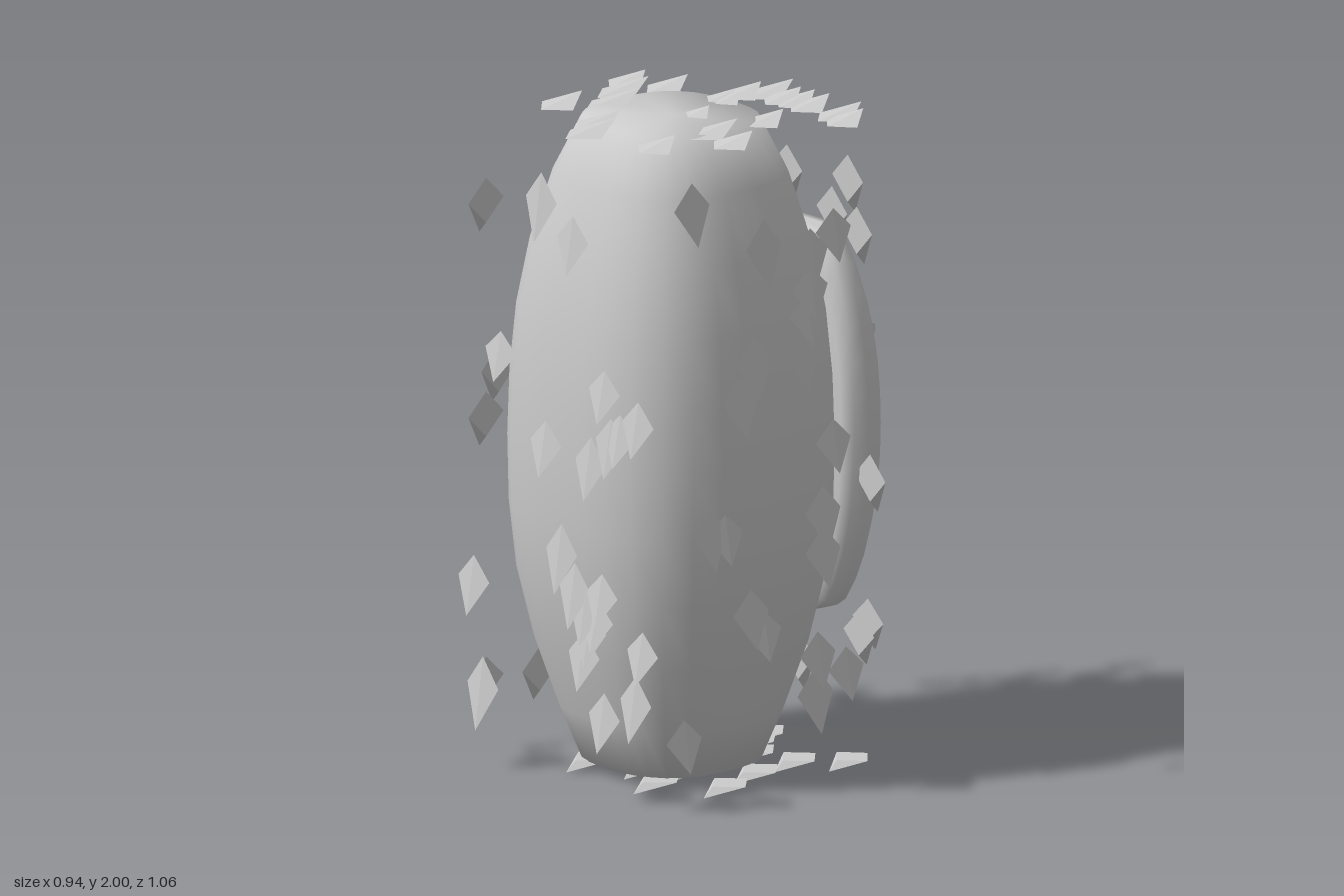
import * as THREE from 'three';
import { mergeVertices } from 'three/addons/utils/BufferGeometryUtils.js';

const grey = new THREE.MeshStandardMaterial({ color: 0xcccccc });
const facetedGrey = new THREE.MeshStandardMaterial({ color: 0xcccccc, flatShading: true });

// Lathe whose round section is squared off into a superellipse, with one smooth skin
function squaredLathe(profile, segments, power) {
  const geo = new THREE.LatheGeometry(profile.map(([r, y]) => new THREE.Vector2(r, y)), segments);
  const p = geo.attributes.position;
  for (let i = 0; i < p.count; i++) {
    const x = p.getX(i), z = p.getZ(i), r = Math.hypot(x, z);
    if (r < 1e-6) continue;
    const k = Math.pow(Math.abs(x / r) ** power + Math.abs(z / r) ** power, -1 / power);
    p.setX(i, x * k);
    p.setZ(i, z * k);
  }
  geo.deleteAttribute('uv');
  geo.deleteAttribute('normal');
  return mergeVertices(geo, 1e-4);
}

function makeMesh(name, geo, material = grey) {
  const mesh = new THREE.Mesh(geo, material);
  mesh.name = name;
  return mesh;
}

// Barrel body, slightly shallower than wide
function makeBody() {
  const geo = squaredLathe([
    [0, 0.03], [0.245, 0.033], [0.305, 0.19], [0.37, 0.39], [0.417, 0.6], [0.437, 0.8],
    [0.441, 1.0], [0.435, 1.2], [0.417, 1.4], [0.38, 1.6], [0.318, 1.81], [0.24, 1.977], [0, 1.98],
  ], 32, 2.8);
  geo.scale(1, 1, 0.975);
  geo.translate(0, 0, 0.066);
  geo.computeVertexNormals();
  return makeMesh('body', geo);
}

// Pack: a padded shield with cut-off ends, bulging towards the back
function makePack() {
  const geo = squaredLathe([
    [0, 0], [0.45, 0], [0.87, 0.006], [0.97, 0.028], [1, 0.075], [0.98, 0.12],
    [0.89, 0.155], [0.8, 0.163], [0.4, 0.166], [0, 0.167],
  ], 40, 2.2);
  geo.rotateX(-Math.PI / 2);
  const p = geo.attributes.position;
  for (let i = 0; i < p.count; i++) {
    const depth = -p.getZ(i);
    const y = THREE.MathUtils.clamp(p.getY(i) * 0.67, -0.575, 0.575);
    const bend = (y / 0.575) ** 2;
    p.setXYZ(i, p.getX(i) * 0.333, y + 1.003, -0.336 - depth - 0.01 * bend + depth * 0.22 * bend);
  }
  geo.computeVertexNormals();
  return makeMesh('pack', geo);
}

// Rails and angled trim on the back of the pack
function makePackTrim() {
  const trim = new THREE.Group();
  trim.name = 'packTrim';
  for (const y of [1.27, 0.737]) {
    const rail = makeMesh('packRail', new THREE.CylinderGeometry(0.021, 0.021, 0.465, 12).rotateZ(Math.PI / 2));
    rail.position.set(0, y, -0.506);
    trim.add(rail);
  }
  for (const s of [-1, 1]) {
    const outline = [[0.1, 0], [0.16, 0.16], [0.198, 0.148], [0.114, 0], [0.198, -0.148], [0.16, -0.16]];
    const shape = new THREE.Shape(outline.map(([x, y]) => new THREE.Vector2(s * x, y)));
    const strip = makeMesh('packChevron', new THREE.ExtrudeGeometry(shape, { depth: 0.03, bevelEnabled: false }));
    strip.position.set(0, 1.04, -0.524);
    trim.add(strip);
  }
  return trim;
}

// One kite-shaped scale: flat behind, with a ridge rising to its overhanging lower tip
function scaleGeometry() {
  const T = [0, 0.5, 0], L = [-0.5, 0.1, 0], R = [0.5, 0.1, 0], K = [0, -0.3, 0], B = [0, -0.5, 0.03];
  const corners = [T, L, B, T, B, R, T, R, K, T, K, L, L, K, B, K, R, B];
  const geo = new THREE.BufferGeometry();
  geo.setAttribute('position', new THREE.Float32BufferAttribute(corners.flat(), 3));
  geo.computeVertexNormals();
  return geo;
}

// Scale spots per side as [across, along, length]
const frontSpots = [
  [-0.08, 1.76, 0.21], [0.06, 1.67, 0.18], [-0.26, 1.27, 0.15], [-0.06, 1.03, 0.17], [0.2, 1.24, 0.16],
  [0.35, 1.17, 0.17], [0.23, 1.09, 0.18], [0.14, 1.01, 0.19], [0.27, 1.12, 0.16], [0.01, 0.71, 0.21],
  [0.07, 0.61, 0.2], [0.19, 0.62, 0.16], [0.12, 0.56, 0.18], [0.14, 0.5, 0.18], [0.11, 0.42, 0.18],
  [0.17, 0.54, 0.16], [-0.38, 0.55, 0.18], [-0.34, 0.23, 0.22], [0.37, 0.48, 0.16], [0.34, 0.32, 0.2], [0.2, 0.25, 0.18],
];
const backSpots = [
  [0.27, 1.74, 0.18], [0.31, 1.59, 0.18], [0.2, 1.63, 0.18], [0, 1.72, 0.17], [-0.22, 1.66, 0.2],
  [-0.32, 1.39, 0.18], [0.32, 0.37, 0.17], [-0.38, 0.52, 0.18], [-0.25, 0.37, 0.16], [0.36, 0.42, 0.16],
  [-0.36, 1.15, 0.17], [0.37, 0.85, 0.18], [0.05, 0.25, 0.2], [-0.1, 0.22, 0.18],
];
const leftSpots = [
  [0.37, 1.82, 0.19], [0.09, 1.65, 0.21], [-0.09, 1.61, 0.17], [-0.18, 1.66, 0.16], [-0.09, 1.5, 0.16],
  [-0.08, 1.42, 0.16], [-0.06, 1.31, 0.2], [0.13, 1.31, 0.19], [0.18, 1.2, 0.19], [-0.18, 1.02, 0.16],
  [-0.14, 0.81, 0.19], [-0.14, 0.69, 0.18], [0.3, 0.82, 0.18], [0.24, 0.81, 0.15], [0.14, 0.55, 0.18],
  [0.09, 0.49, 0.15], [-0.12, 0.38, 0.17], [-0.23, 0.32, 0.16], [-0.11, 0.26, 0.2], [0.4, 0.21, 0.16],
];
const rightSpots = [
  [0.4, 1.67, 0.17], [0, 1.64, 0.18], [-0.16, 1.74, 0.17], [-0.28, 1.75, 0.16], [-0.32, 1.38, 0.18],
  [0.08, 1.24, 0.18], [0.35, 1.15, 0.18], [0.4, 1.02, 0.17], [-0.32, 1.15, 0.18], [0.03, 1.03, 0.17],
  [-0.34, 0.99, 0.18], [-0.09, 0.91, 0.18], [0.2, 0.56, 0.18], [0.14, 0.48, 0.17],
  [-0.35, 0.64, 0.18], [-0.1, 0.51, 0.18], [0.19, 0.21, 0.17], [0.4, 0.22, 0.16], [-0.29, 0.34, 0.17],
];
const topSpots = [
  [-0.36, -0.08, 0.14], [-0.24, -0.13, 0.16], [-0.3, -0.01, 0.2], [-0.31, 0.22, 0.16], [-0.22, 0.1, 0.21],
  [-0.08, 0.28, 0.17], [-0.02, 0.36, 0.2], [-0.04, -0.25, 0.14], [-0.03, -0.14, 0.14], [0, -0.14, 0.13],
  [0.06, 0.03, 0.12], [0.23, -0.1, 0.14], [0.22, 0.1, 0.2], [0.35, 0.13, 0.15], [0.24, 0.33, 0.14],
  [0, -0.32, 0.18], [0.13, -0.31, 0.14], [0.19, -0.31, 0.15], [0.32, -0.31, 0.17], [0.38, -0.28, 0.14], [0.08, -0.3, 0.14],
];
const bottomSpots = [
  [0.37, -0.3, 0.15], [0.35, 0.16, 0.17], [0.29, -0.01, 0.17], [0.27, -0.18, 0.16], [0.12, -0.15, 0.16],
  [0.03, -0.23, 0.17], [-0.02, -0.31, 0.16], [-0.1, -0.32, 0.15], [-0.33, -0.11, 0.17], [0.04, -0.19, 0.16],
  [0.15, 0.15, 0.17], [0.18, 0.28, 0.18], [-0.13, 0.27, 0.18], [-0.13, 0.08, 0.17], [-0.23, 0.1, 0.17],
  [0.04, 0.2, 0.17], [-0.31, 0.05, 0.16],
];

// Each side: name, outward direction, direction of the blunt end, spot to position, spots
const sides = [
  ['frontScales', [0, 0, 1], [0, 1, 0], (a, b) => [a, b, 0.5], frontSpots],
  ['backScales', [0, 0, -1], [0, 1, 0], (a, b) => [a, b, -0.385], backSpots],
  ['leftScales', [1, 0, 0], [0, 1, 0], (a, b) => [0.44, b, a], leftSpots],
  ['rightScales', [-1, 0, 0], [0, 1, 0], (a, b) => [-0.44, b, a], rightSpots],
  ['topScales', [0, 1, 0], [0, 0, 1], (a, b) => [a, 1.97, b], topSpots],
  ['bottomScales', [0, -1, 0], [0, 0, -1], (a, b) => [a, 0.035, b], bottomSpots],
];

function makeScales([name, out, up, place, spots], geo) {
  const group = new THREE.Group();
  group.name = name;
  const n = new THREE.Vector3(...out), u = new THREE.Vector3(...up);
  const basis = new THREE.Matrix4().makeBasis(u.clone().cross(n), u, n);
  for (const [a, b, length] of spots) {
    const scale = makeMesh('scale', geo, facetedGrey);
    scale.quaternion.setFromRotationMatrix(basis);
    scale.position.set(...place(a, b));
    scale.scale.set(0.137, length, 1);
    group.add(scale);
  }
  return group;
}

export function createModel() {
  const model = new THREE.Group();
  model.add(makeBody(), makePack(), makePackTrim());
  const geo = scaleGeometry();
  for (const side of sides) model.add(makeScales(side, geo));
  return model;
}
